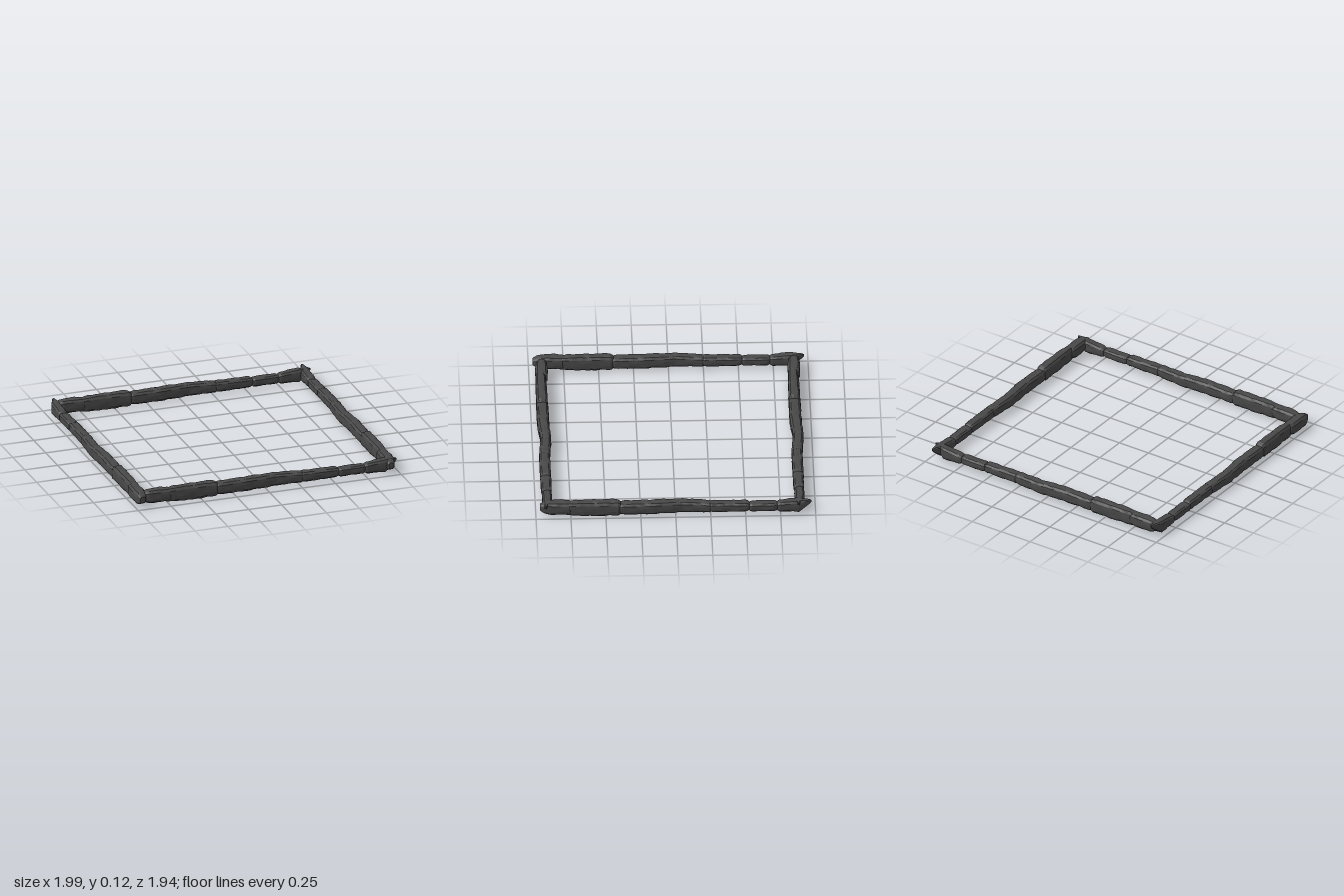
import * as THREE from 'three';

const material = new THREE.MeshStandardMaterial({ color: 0x484848, flatShading: true, roughness: 0.9 });

// Stones of one bar: sections are [along, bottom, top, inner, outer],
// startRound and endRound are the lengths over which the ends round off
const stones = [
  { name: 'startStone', startRound: 0.07, endRound: 0.03, sections: [
    [-0.97, 0.025, 0.118, -0.045, 0.03], [-0.83, 0.02, 0.12, -0.05, 0.042], [-0.73, 0.03, 0.116, -0.044, 0.039]] },
  { name: 'bigStone', startRound: 0.12, endRound: 0.03, sections: [
    [-0.83, 0.014, 0.12, -0.03, 0.038], [-0.6, 0.01, 0.125, -0.037, 0.044], [-0.385, 0.012, 0.123, -0.041, 0.046]] },
  { name: 'longStone', startRound: 0.06, endRound: 0.03, sections: [
    [-0.43, 0.02, 0.108, -0.041, 0.046], [-0.15, 0.02, 0.115, -0.041, 0.046],
    [0.05, 0.022, 0.112, -0.05, 0.028], [0.27, 0.029, 0.105, -0.036, 0.045]] },
  { name: 'middleStone', startRound: 0.03, endRound: 0.03, sections: [
    [0.23, 0.028, 0.104, -0.035, 0.044], [0.535, 0.031, 0.101, -0.036, 0.044]] },
  { name: 'smallStone', startRound: 0.03, endRound: 0.03, sections: [
    [0.515, 0.031, 0.094, -0.037, 0.044], [0.735, 0.03, 0.096, -0.034, 0.041]] },
  { name: 'tipStone', startRound: 0.03, endRound: 0.02, sections: [
    [0.715, 0.026, 0.096, -0.034, 0.038], [0.88, 0.017, 0.115, -0.034, 0.038], [0.97, 0.092, 0.115, 0.006, 0.02]] },
];

// Chiselled roughness, a sum of a few waves
const rough = (s, a, k) => 0.5 * Math.sin(47 * s + 3 * a + k * 2.1) + 0.3 * Math.sin(31 * s - 5 * a + k)
  + 0.35 * Math.sin(93 * s + 2 * a + k * 3.7);

// Section of a stone at any point along the bar
function sectionAt(sections, s) {
  let i = 0;
  while (i < sections.length - 2 && s > sections[i + 1][0]) i++;
  const [p, q] = [sections[i], sections[i + 1]];
  const t = (s - p[0]) / (q[0] - p[0]);
  return p.map((v, c) => THREE.MathUtils.lerp(v, q[c], t));
}

// Falls from 1 to 0.5 over the last stretch before an end
const roundOff = (distance, length) => 1 - 0.5 * Math.max(0, 1 - distance / length) ** 2;

function stoneGeometry({ sections, startRound, endRound }, seed) {
  const sides = 16, start = sections[0][0], end = sections[sections.length - 1][0];
  const steps = Math.round((end - start) / 0.015);
  const positions = [], index = [];
  const addRing = (s, scale) => {
    const [, y0, y1, z0, z1] = sectionAt(sections, s);
    for (let j = 0; j < sides; j++) {
      const a = ((j + 0.5) / sides) * Math.PI * 2, c = Math.cos(a), d = Math.sin(a);
      // Boxy rounded section
      const r = (c ** 4 + d ** 4) ** -0.25 * scale * (0.985 + 0.055 * rough(s, a, seed));
      positions.push(s, (y0 + y1) / 2 + (r * d * (y1 - y0)) / 2, (z0 + z1) / 2 + (r * c * (z1 - z0)) / 2);
    }
  };
  // Closed ends are rings shrunk to a point
  addRing(start, 0);
  for (let i = 0; i <= steps; i++) {
    const s = THREE.MathUtils.lerp(start, end, i / steps);
    addRing(s, roundOff(s - start, startRound) * roundOff(end - s, endRound));
  }
  addRing(end, 0);
  for (let i = 0; i < steps + 2; i++) {
    for (let j = 0; j < sides; j++) {
      const a = i * sides + j, b = i * sides + ((j + 1) % sides);
      index.push(a, a + sides, b, b, a + sides, b + sides);
    }
  }
  const geometry = new THREE.BufferGeometry();
  geometry.setAttribute('position', new THREE.Float32BufferAttribute(positions, 3));
  geometry.setIndex(index);
  geometry.computeVertexNormals();
  return geometry;
}

export function createModel() {
  const model = new THREE.Group();
  model.name = 'stoneBorder';
  const parts = stones.map((stone, i) => ({ name: stone.name, geometry: stoneGeometry(stone, i + 1) }));

  // The same bar of stones repeats on all four sides
  const addBar = (name, x, z, turn) => {
    const bar = new THREE.Group();
    bar.name = name;
    for (const part of parts) {
      const mesh = new THREE.Mesh(part.geometry, material);
      mesh.name = part.name;
      bar.add(mesh);
    }
    bar.position.set(x, 0, z);
    bar.rotation.y = turn;
    model.add(bar);
  };
  addBar('frontBar', 0.02, 0.915, 0);
  addBar('backBar', 0.02, -0.89, 0);
  addBar('rightBar', -0.945, 0, Math.PI / 2);
  addBar('leftBar', 0.945, 0, Math.PI / 2);
  return model;
}
